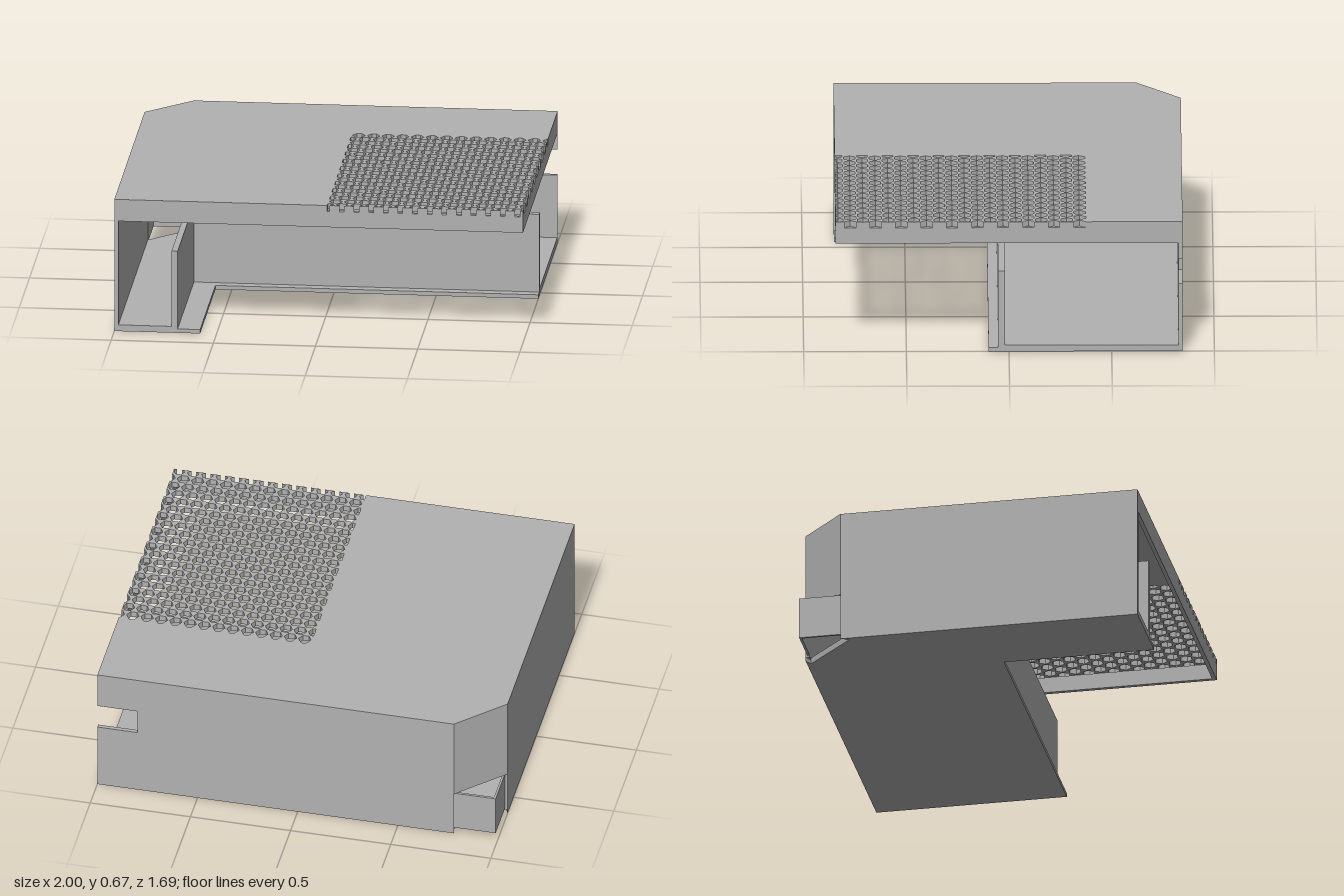
import * as THREE from 'three';
import { mergeGeometries } from 'three/addons/utils/BufferGeometryUtils.js';

// Prism from an [x, z] outline, standing between heights y0 and y1
function prism(points, y0, y1) {
  const shape = new THREE.Shape(points.map(([x, z]) => new THREE.Vector2(x, -z)));
  const geo = new THREE.ExtrudeGeometry(shape, { depth: y1 - y0, bevelEnabled: false });
  return geo.rotateX(-Math.PI / 2).translate(0, y0, 0);
}

const rect = (x0, x1, z0, z1) => [[x0, z0], [x1, z0], [x1, z1], [x0, z1]];

// Vent made of small triangles that leave hexagonal holes between them
function ventGeometry(x0, x1, z0, z1, y0, y1) {
  const side = 0.0358, rowH = side * Math.sqrt(3), grow = 1.36;
  const parts = [];
  for (let row = 0; row < 21; row++) {
    const cz = z0 + rowH * (row + 0.5);
    const shift = row % 2 ? side : 0;
    for (let col = 0; col < 15; col++) {
      const cx = x0 + shift + col * side * 2;
      for (const dir of [-1, 1]) {
        const corners = [[cx, cz], [cx - side / 2, cz + dir * rowH / 2], [cx + side / 2, cz + dir * rowH / 2]];
        const mz = cz + dir * rowH / 3;
        const tri = corners.map(([x, z]) => [
          THREE.MathUtils.clamp(cx + (x - cx) * grow, x0, x1),
          THREE.MathUtils.clamp(mz + (z - mz) * grow, z0, z1),
        ]);
        const [a, b, c] = tri;
        const area = Math.abs((b[0] - a[0]) * (c[1] - a[1]) - (c[0] - a[0]) * (b[1] - a[1]));
        if (area > 1e-5) parts.push(prism(tri, y0, y1));
      }
    }
  }
  return mergeGeometries(parts);
}

export function createModel() {
  const group = new THREE.Group();
  const grey = new THREE.MeshStandardMaterial({ color: 0xb2b2b2 });
  grey.name = 'plainGrey';
  const add = (name, geo) => {
    const mesh = new THREE.Mesh(geo, grey);
    mesh.name = name;
    group.add(mesh);
  };
  const addPrism = (name, points, y0, y1) => add(name, prism(points, y0, y1));

  const Z = 0.845, T = 0.02;
  const lidY = 0.64, top = 0.67, lipY = 0.56;
  const ventX = 0.042, ventZ = -0.374;

  // Lid, leaving the front corner free for the vent
  addPrism('lid', [[-1, Z], [ventX, Z], [ventX, ventZ], [1, ventZ], [1, -Z], [-0.78, -Z], [-1, -0.63]], lidY, top);
  add('vent', ventGeometry(ventX, 1, ventZ, Z, lidY, top));
  addPrism('frontLip', rect(-1, 1, Z - T, Z), lipY, lidY);
  addPrism('sideLip', rect(1 - T, 1, -Z, Z - T), lipY, lidY);

  // L-shaped floor with a thicker inner area
  addPrism('floor', [[-1, Z], [-0.58, Z], [-0.58, 0.1], [1, 0.1], [1, -Z], [-0.78, -Z],
    [-0.745, -0.825], [-0.98, -0.59], [-1, -0.63]], 0, T);
  addPrism('innerFloor', [[-0.98, Z], [-0.72, Z], [-0.72, 0.02], [1, 0.02], [1, -0.825],
    [-0.745, -0.825], [-0.98, -0.59]], T, 0.032);

  // Outer walls, the back one with an open notch at its end
  addPrism('sideWall', rect(-1, -1 + T, -0.63, Z), T, lidY);
  const back = new THREE.Shape([[-0.78, T], [1, T], [1, 0.35], [0.8, 0.35], [0.8, 0.48], [1, 0.48],
    [1, lidY], [-0.78, lidY]].map(([x, y]) => new THREE.Vector2(x, y)));
  add('backWall', new THREE.ExtrudeGeometry(back, { depth: T, bevelEnabled: false }).translate(0, 0, -Z));

  // Slanted corner wall above a small square-cornered pocket
  addPrism('cornerWall', [[-1, -0.63], [-0.78, -Z], [-0.772, -0.825], [-0.98, -0.622]], 0.24, lidY);
  addPrism('cornerPocket', [[-0.987, -0.59], [-0.987, -0.837], [-0.745, -0.837], [-0.745, -0.825],
    [-0.976, -0.825], [-0.976, -0.59]], 0.03, 0.24);

  // Low inner wall following the floor's inside corner
  addPrism('innerWall', [[-0.72, Z], [-0.69, Z], [-0.69, 0.053], [1, 0.053], [1, 0.02], [-0.72, 0.02]], T, 0.415);

  return group;
}
